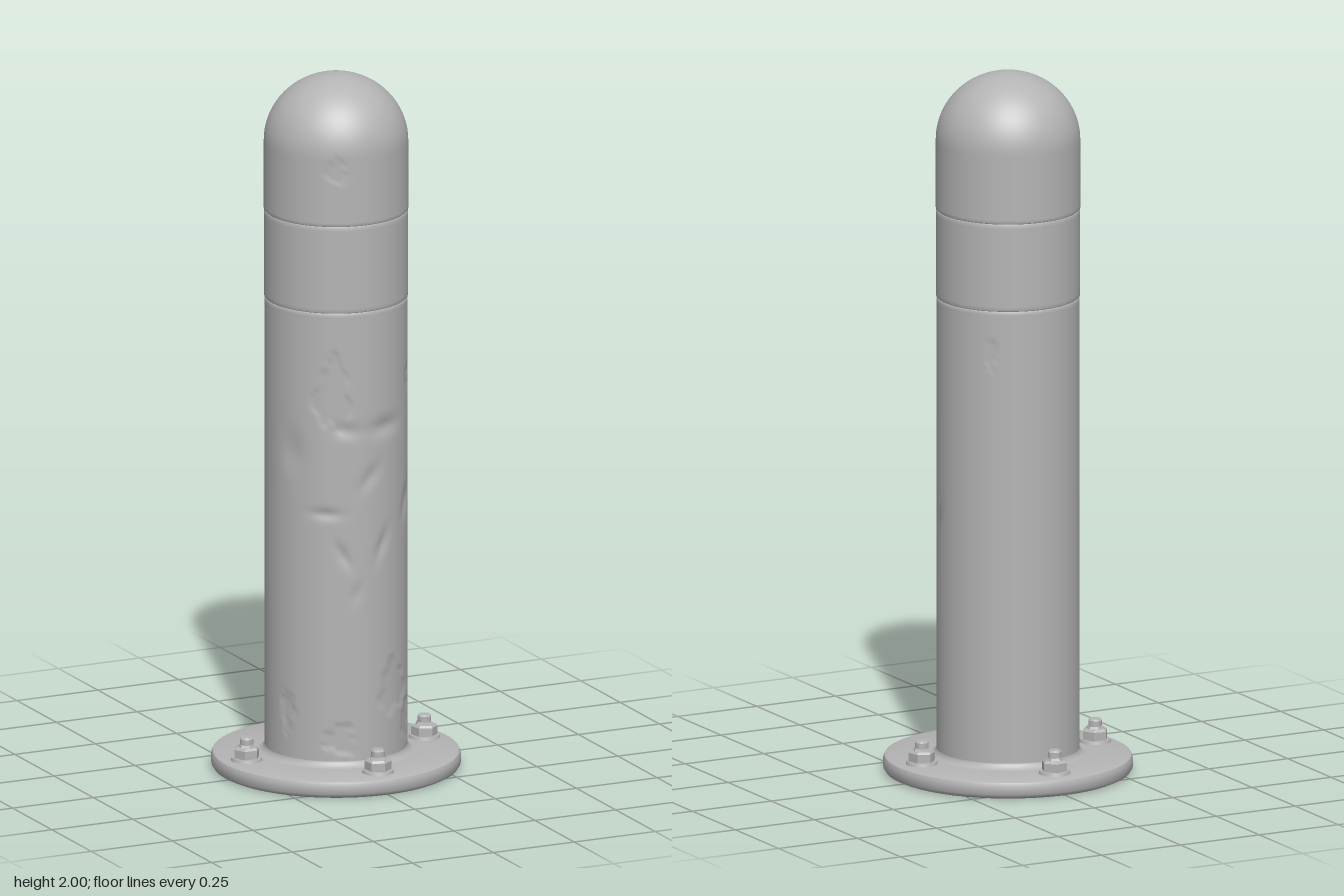
import * as THREE from 'three';
import { toCreasedNormals } from 'three/addons/utils/BufferGeometryUtils.js';

const R = 0.2;

// Ragged paint chips on the post: [angle from front, height, half width, half height, depth]
const CHIPS = [
  [-0.5, 1.12, 0.07, 0.14, 0.003], [0.5, 0.26, 0.08, 0.10, 0.003],
  [-0.4, 0.13, 0.06, 0.06, 0.003], [0.85, 0.15, 0.04, 0.08, 0.003],
  [-0.45, 1.77, 0.04, 0.05, 0.002], [0.95, 1.13, 0.025, 0.06, 0.003],
  [2.4, 1.24, 0.02, 0.06, 0.002], [-1.2, 0.2, 0.03, 0.08, 0.003],
];
// Smooth knocks: [angle, height, half width, half height, depth, slant]
const DENTS = [
  [0.3, 1.02, 0.07, 0.035, 0.008, 0.3], [-0.3, 1.02, 0.05, 0.03, 0.006, -0.2],
  [0.05, 0.88, 0.03, 0.05, 0.006, 0.6], [-0.6, 0.78, 0.06, 0.02, 0.006, 0],
  [-0.35, 0.66, 0.02, 0.05, 0.007, -0.4], [0.25, 0.68, 0.02, 0.06, 0.007, 0.4],
  [0.85, 0.78, 0.03, 0.06, 0.006, 0.4], [1.3, 0.72, 0.02, 0.07, 0.005, 0.5],
  [-1.1, 0.95, 0.05, 0.08, 0.006, 0], [-0.15, 0.55, 0.02, 0.04, 0.004, 0.3],
];

function wear(a, y) {
  let d = 0;
  for (const [ca, cy, w, h, depth] of CHIPS) {
    const u = Math.atan2(Math.sin(a - ca), Math.cos(a - ca)) * R / w, v = (y - cy) / h;
    const t = Math.atan2(v, u);
    const edge = 0.78 + 0.13 * Math.sin(3 * t + ca * 5) + 0.09 * Math.sin(7 * t + cy * 9);
    d += depth * THREE.MathUtils.smoothstep(edge - Math.hypot(u, v), 0, 0.12);
  }
  for (const [ca, cy, w, h, depth, slant] of DENTS) {
    const s = Math.atan2(Math.sin(a - ca), Math.cos(a - ca)) * R;
    const u = (s - slant * (y - cy)) / w, v = (y - cy) / h;
    d += depth * Math.exp(-2 * (u * u + v * v));
  }
  return d;
}

// Lathe with its seam at the back, pushed inward by the wear rule
function wornLathe(points) {
  const geo = new THREE.LatheGeometry(points, 128, Math.PI);
  const p = geo.attributes.position;
  for (let i = 0; i < p.count; i++) {
    const x = p.getX(i), y = p.getY(i), z = p.getZ(i), r = Math.hypot(x, z);
    if (r < 0.19) continue;
    const k = 1 - wear(Math.atan2(x, z), y) / r;
    p.setXYZ(i, x * k, y, z * k);
  }
  geo.computeVertexNormals();
  return geo;
}

// Straight run of profile points with softened ends
function tubeProfile(r, y0, y1, n) {
  const pts = [new THREE.Vector2(r - 0.003, y0)];
  for (let i = 0; i <= n; i++) {
    pts.push(new THREE.Vector2(r, y0 + 0.003 + (y1 - y0 - 0.006) * i / n));
  }
  pts.push(new THREE.Vector2(r - 0.003, y1));
  return pts;
}

export function createModel() {
  const model = new THREE.Group();
  model.name = 'bollard';
  const grey = new THREE.MeshStandardMaterial({ color: 0xb4b4b4 });
  grey.name = 'grey metal';
  const add = (parent, name, geo, y = 0) => {
    const mesh = new THREE.Mesh(geo, grey);
    mesh.name = name;
    mesh.position.y = y;
    parent.add(mesh);
    return mesh;
  };

  // Round base plate with eased rims
  const plate = [[0, 0], [0.33, 0], [0.341, 0.005], [0.347, 0.014], [0.347, 0.038],
    [0.343, 0.047], [0.334, 0.051], [0.18, 0.052]].map(([x, y]) => new THREE.Vector2(x, y));
  add(model, 'basePlate', toCreasedNormals(new THREE.LatheGeometry(plate, 96), 0.7));

  // Weld fillet where the post meets the plate
  const fillet = [];
  for (let i = 0; i <= 6; i++) {
    const t = i / 6 * Math.PI / 2;
    fillet.push(new THREE.Vector2(0.222 - 0.024 * Math.sin(t), 0.075 - 0.024 * Math.cos(t)));
  }
  add(model, 'weldFillet', new THREE.LatheGeometry(fillet, 96));

  // Post and the band above it
  add(model, 'post', wornLathe(tubeProfile(0.199, 0.045, 1.36, 170)));
  add(model, 'band', wornLathe(tubeProfile(0.2, 1.36, 1.61, 24)));

  // Cap with domed top
  const cap = tubeProfile(0.201, 1.61, 1.81, 24);
  cap.pop();
  for (let i = 1; i <= 28; i++) {
    const t = i / 28 * Math.PI / 2;
    cap.push(new THREE.Vector2(i === 28 ? 0 : 0.201 * Math.cos(t), 1.807 + 0.193 * Math.sin(t)));
  }
  add(model, 'domedCap', wornLathe(cap));

  // Four anchor bolts, each with washer, hex nut, collar and stud
  const nutProfile = [[0, 0], [0.037, 0], [0.037, 0.026], [0.031, 0.032], [0, 0.032]]
    .map(([x, y]) => new THREE.Vector2(x, y));
  const studProfile = [[0.019, 0], [0.019, 0.026], [0.015, 0.031], [0, 0.031]]
    .map(([x, y]) => new THREE.Vector2(x, y));
  const washerGeo = new THREE.CylinderGeometry(0.042, 0.045, 0.01, 32);
  const nutGeo = toCreasedNormals(new THREE.LatheGeometry(nutProfile, 6), 0.3);
  const collarGeo = toCreasedNormals(new THREE.CylinderGeometry(0.022, 0.026, 0.008, 6), 0.3);
  const studGeo = toCreasedNormals(new THREE.LatheGeometry(studProfile, 20), 0.5);
  [[0.273, 0, 0.2], [-0.276, 0, 0.45], [0.002, -0.274, 0.7], [-0.003, 0.273, 0.1]]
    .forEach(([x, z, turn], i) => {
      const bolt = new THREE.Group();
      bolt.name = 'anchorBolt' + (i + 1);
      bolt.position.set(x, 0.051, z);
      bolt.rotation.y = turn;
      add(bolt, 'washer', washerGeo, 0.004);
      add(bolt, 'nut', nutGeo, 0.007);
      add(bolt, 'collar', collarGeo, 0.042).rotation.y = 0.5;
      add(bolt, 'stud', studGeo, 0.036);
      model.add(bolt);
    });

  return model;
}
